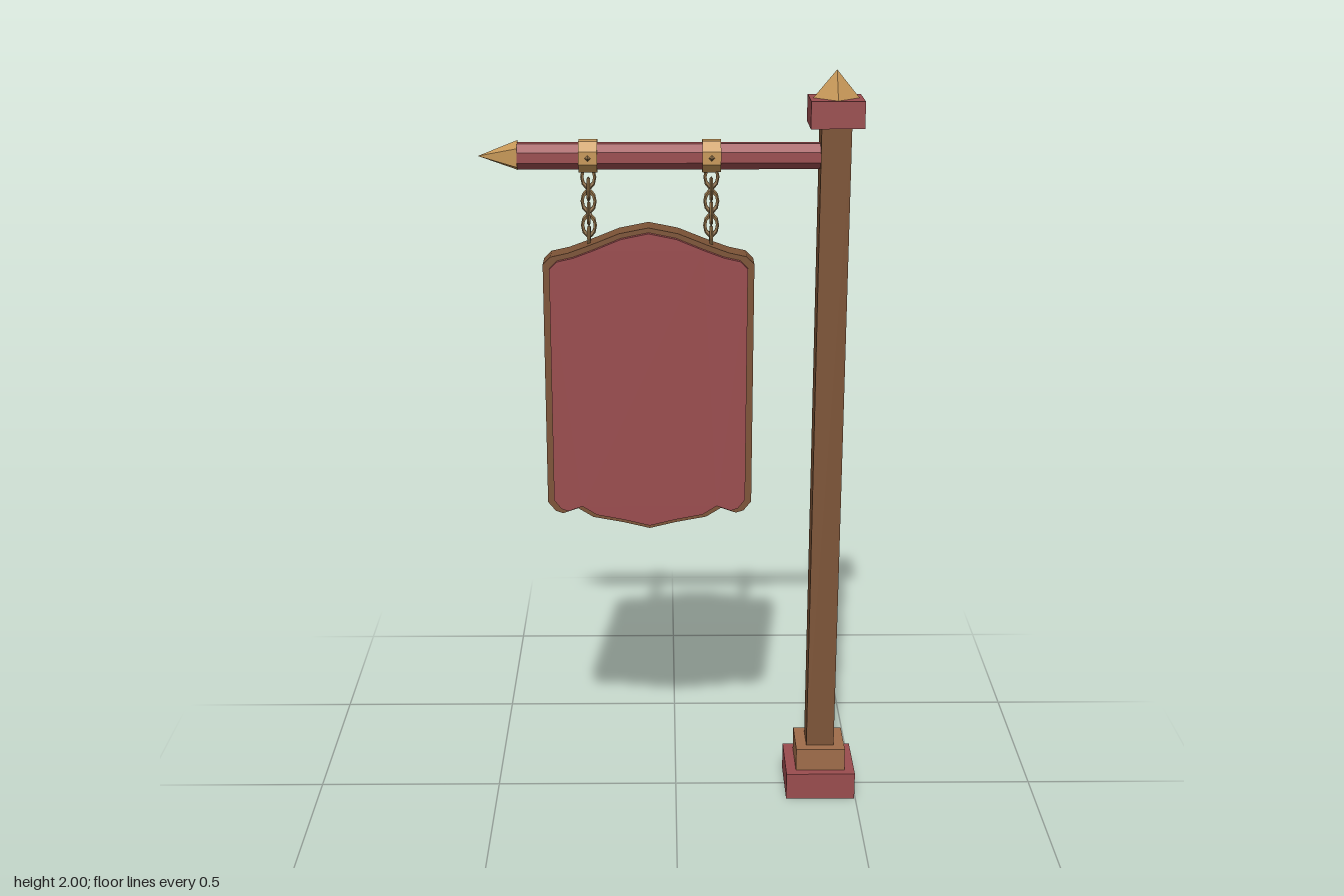
import * as THREE from 'three';

const mat = (name, color) => {
  const m = new THREE.MeshStandardMaterial({ color, flatShading: true });
  m.name = name;
  return m;
};

export function createModel() {
  const model = new THREE.Group();
  model.name = 'hangingSign';
  const red = mat('paintedRed', 0x9a4c4e);
  const wood = mat('darkWood', 0x7d5437);
  const lightWood = mat('lightWood', 0x9f6d4a);
  const gold = mat('brass', 0xc79858);
  const iron = mat('agedBrass', 0x8f7048);

  const add = (name, geometry, material, x, y, z = 0, parent = model) => {
    const mesh = new THREE.Mesh(geometry, material);
    mesh.name = name;
    mesh.position.set(x, y, z);
    parent.add(mesh);
    return mesh;
  };

  // Post with stepped base, cap and pointed finial
  const px = 0.402;
  const block = (name, w, d, y0, y1, m) =>
    add(name, new THREE.BoxGeometry(w, y1 - y0, d), m, px, (y0 + y1) / 2);
  block('base', 0.19, 0.18, 0, 0.076, red);
  block('baseStep', 0.135, 0.132, 0.076, 0.14, lightWood);
  block('post', 0.076, 0.08, 0.14, 1.862, wood);
  block('cap', 0.135, 0.132, 1.862, 1.93, red);
  add('finial', new THREE.ConeGeometry(0.058, 0.07, 4), gold, px, 1.965);

  // Horizontal arm with pointed tip
  const armY = 1.785;
  const bar = (r, length) =>
    new THREE.CylinderGeometry(r, r, length, 8).rotateY(Math.PI / 8).rotateZ(Math.PI / 2);
  add('arm', bar(0.035, 0.78), red, -0.01, armY);
  const tip = new THREE.ConeGeometry(0.04, 0.1, 5).rotateY(Math.PI).rotateZ(Math.PI / 2);
  add('armTip', tip, gold, -0.45, armY);

  // Sign board: half outline as offsets from its centre line, mirrored
  const cx = -0.07, cy = 1.2;
  const half = [
    [0, 1.61], [0.075, 1.595], [0.15, 1.565], [0.205, 1.545], [0.25, 1.535], [0.27, 1.515],
    [0.27, 0.87], [0.25, 0.845], [0.23, 0.838], [0.19, 0.852], [0.15, 0.827], [0.07, 0.812], [0, 0.795],
  ];
  const outline = [...half, ...half.slice(1, -1).reverse().map(([x, y]) => [-x, y])];
  const board = (sx, sy, depth) => new THREE.ExtrudeGeometry(
    new THREE.Shape(outline.map(([x, y]) => new THREE.Vector2(x * sx, (y - cy) * sy))),
    { depth, bevelEnabled: false });
  add('signBoard', board(1, 1, 0.073), wood, cx, cy, -0.025);
  add('signPanel', board(0.937, 0.97, 0.014), red, cx, cy, 0.048);

  // Oval chain link
  const link = new THREE.TorusGeometry(0.016, 0.0045, 5, 10).scale(1, 1.6, 1);

  // Two hangers: band around the arm, stud and chain
  for (const x of [-0.222, 0.09]) {
    const hanger = new THREE.Group();
    hanger.name = 'hanger';
    hanger.position.x = x;
    model.add(hanger);
    add('band', bar(0.0425, 0.047), gold, 0, armY, 0, hanger);
    add('stud', new THREE.OctahedronGeometry(0.008), iron, 0, armY, 0.039, hanger);
    for (let i = 0; i < 6; i++) {
      const l = add('chainLink', link, iron, 0, 1.732 - i * 0.031, 0.005, hanger);
      l.rotation.y = i % 2 ? Math.PI / 2 : 0;
    }
  }
  return model;
}
